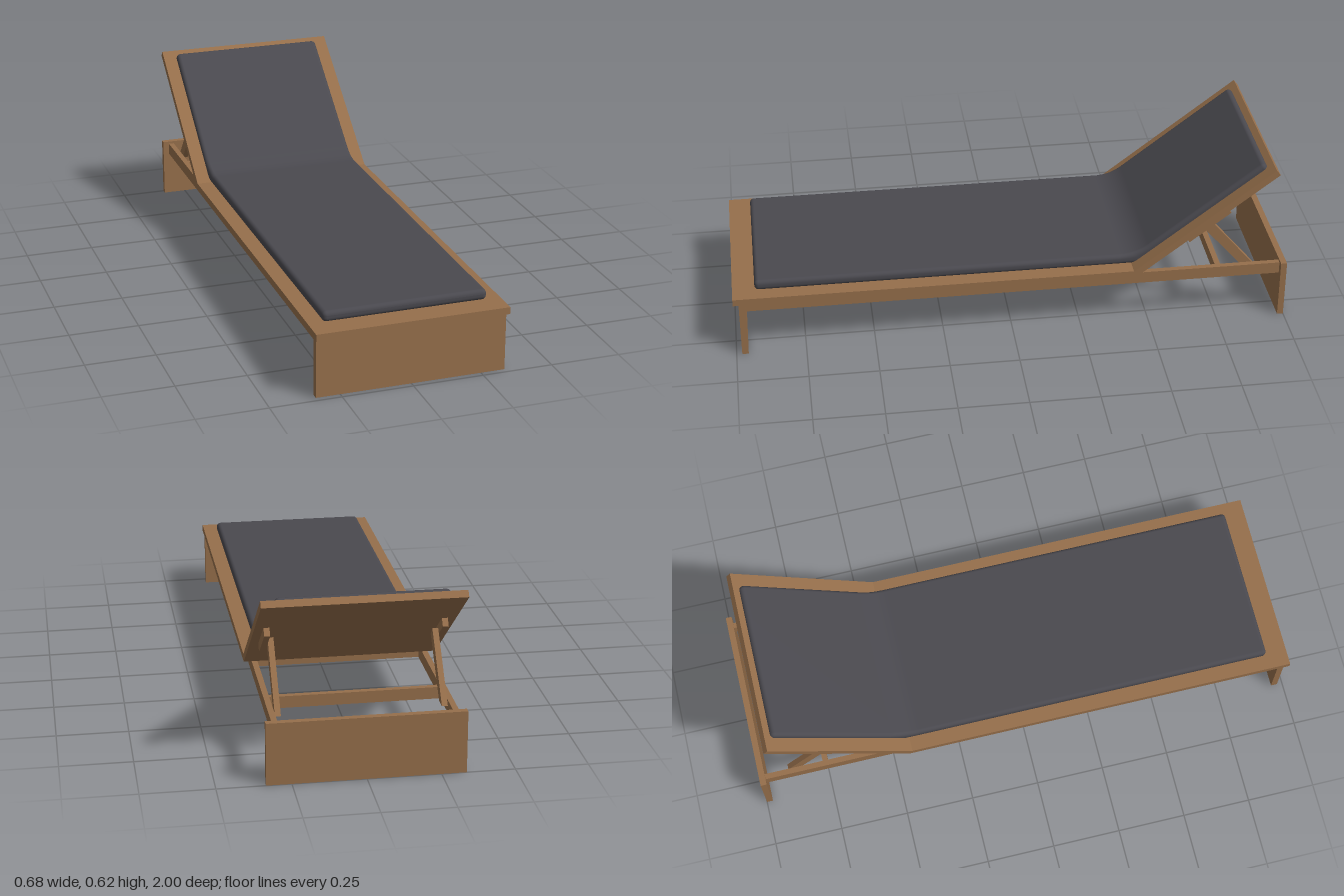
import * as THREE from 'three';

const wood = new THREE.MeshStandardMaterial({ color: 0x966f4b });
wood.name = 'wood';
const fabric = new THREE.MeshStandardMaterial({ color: 0x4a494f });
fabric.name = 'charcoal fabric';

const TILT = THREE.MathUtils.degToRad(37.5); // recline of the backrest
const C = Math.cos(TILT), S = Math.sin(TILT);

// Point on the backrest: d along its underside from the hinge, n out of its face
const onBack = (d, n) => [-0.443 - d * C + n * S, 0.212 + d * S + n * C];

// Side profile given as [z, y] points, extruded to a width centred on x
function board(name, points, width, x = 0) {
  const shape = new THREE.Shape(points.map(([z, y]) => new THREE.Vector2(z, y)));
  const geometry = new THREE.ExtrudeGeometry(shape, { depth: width, bevelEnabled: false });
  geometry.translate(0, 0, -width / 2).rotateY(-Math.PI / 2).translate(x, 0, 0);
  const mesh = new THREE.Mesh(geometry, wood);
  mesh.name = name;
  return mesh;
}

const rect = (z0, z1, y0, y1) => [[z0, y0], [z1, y0], [z1, y1], [z0, y1]];

// Rounded pad, lofted along its length and bent at the hinge
function cushionGeometry() {
  const w = 0.29, h = 0.038, r = 0.015, front = -1.383, back = 0.58;
  const hz = -0.463, hy = 0.236, T = 0.07, R = T / Math.tan(TILT / 2);

  const bend = (s, v) => {
    if (s <= -T) return [hy + v, hz - s];
    if (s >= T) return [hy + s * S + v * C, hz - s * C + v * S];
    const a = (s / T + 1) / 2 * TILT, k = v / h;
    const by = s > 0 ? hy + s * S : hy;
    const bz = s > 0 ? hz - s * C : hz - s;
    const ty = hy + R - (R - h) * Math.cos(a);
    const tz = hz + T - (R - h) * Math.sin(a);
    return [by + (ty - by) * k, bz + (tz - bz) * k];
  };

  // Stations: [distance along the pad, rounding radius of the section]
  const stations = [], steps = 5;
  for (let i = 0; i <= steps; i++) {
    const a = i / steps * Math.PI / 2;
    stations.push([front + r - r * Math.cos(a), r * Math.sin(a)]);
  }
  for (let i = 0; i <= 12; i++) stations.push([-T + 2 * T * i / 12, r]);
  for (let i = 0; i <= steps; i++) {
    const a = i / steps * Math.PI / 2;
    stations.push([back - r + r * Math.sin(a), r * Math.cos(a)]);
  }

  const positions = [], index = [], n = 4 * (steps + 1);
  for (const [s, rad] of stations) {
    for (let q = 0; q < 4; q++) {
      const cx = (q === 0 || q === 3 ? 1 : -1) * (w - r);
      const cv = q < 2 ? h - r : r;
      for (let k = 0; k <= steps; k++) {
        const a = (q + k / steps) * Math.PI / 2;
        const [y, z] = bend(s, cv + rad * Math.sin(a));
        positions.push(cx + rad * Math.cos(a), y, z);
      }
    }
  }
  const last = (stations.length - 1) * n;
  for (let i = 0; i < last; i += n) {
    for (let j = 0; j < n; j++) {
      const k = (j + 1) % n;
      index.push(i + j, i + n + j, i + k, i + k, i + n + j, i + n + k);
    }
  }
  for (let j = 1; j < n - 1; j++) {
    index.push(0, j, j + 1, last, last + j + 1, last + j);
  }
  const geometry = new THREE.BufferGeometry();
  geometry.setAttribute('position', new THREE.Float32BufferAttribute(positions, 3));
  geometry.setIndex(index);
  geometry.computeVertexNormals();
  return geometry;
}

export function createModel() {
  const group = new THREE.Group();
  group.name = 'sunLounger';

  // Flat deck and reclined backrest, mitred where they meet
  const mitre = [-0.4345, 0.237];
  group.add(board('deck', [[1, 0.212], [1, 0.237], mitre, [-0.443, 0.212]], 0.68));
  group.add(board('backrest', [onBack(0, 0), mitre, onBack(0.636, 0.025), onBack(0.636, 0)], 0.68));

  // End panels that act as legs
  group.add(board('frontLeg', rect(0.957, 0.98, 0, 0.212), 0.67));
  group.add(board('backLeg', rect(-1, -0.978, 0, 0.22), 0.67));

  // Cross bars between the rails
  for (let i = -2; i <= 2; i++) {
    const z = i * 0.376;
    group.add(board('crossBar', rect(z - 0.01, z + 0.01, 0.168, 0.21), 0.59));
  }

  for (const side of [-1, 1]) {
    group.add(board('sideRail', rect(-0.978, 0.957, 0.167, 0.211), 0.02, side * 0.302));

    // Bracket under the backrest and the strut that props it up
    group.add(board('bracket', [onBack(0.225, 0), onBack(0.41, 0),
      onBack(0.41, -0.03), onBack(0.225, -0.03)], 0.02, side * 0.3));
    group.add(board('strut', [[-0.842, 0.195], [-0.888, 0.195],
      [-0.705, 0.405], [-0.68, 0.375]].map(([z, y], i) =>
      i < 2 ? [z - 0.002, y] : [z - 0.008, y]), 0.02, side * 0.28));
  }

  const cushion = new THREE.Mesh(cushionGeometry(), fabric);
  cushion.name = 'cushion';
  group.add(cushion);
  return group;
}
